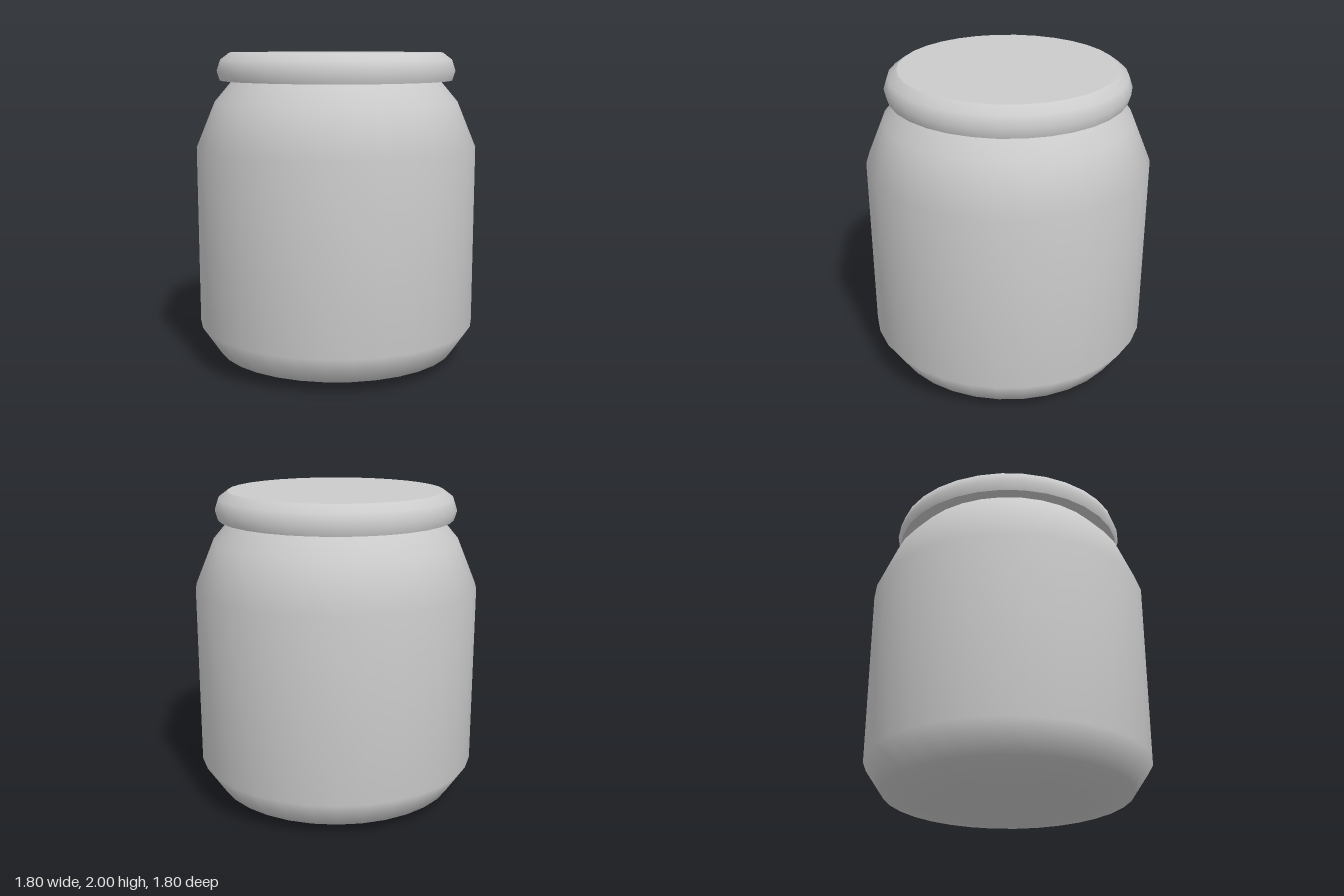
import * as THREE from 'three';

const SIDES = 32;

export function createModel() {
  const group = new THREE.Group();
  const material = new THREE.MeshStandardMaterial({ color: 0xcccccc });

  // Revolve a profile of [radius, height] points, listed from bottom to top
  function turned(name, profile, parent) {
    const points = profile.map(([r, y]) => new THREE.Vector2(r, y));
    const mesh = new THREE.Mesh(new THREE.LatheGeometry(points, SIDES), material);
    mesh.name = name;
    parent.add(mesh);
  }

  // Jar: rounded base, straight wall, shoulder drawn in to the neck
  turned('jarBody', [
    [0, 0], [0.48, 0], [0.78, 0.07], [0.9, 0.25],
    [0.9, 1.4], [0.78, 1.69], [0.665, 1.826],
  ], group);

  // Lid: separate pieces keep the rims sharp
  const lid = new THREE.Group();
  lid.name = 'lid';
  group.add(lid);
  turned('lidUnderside', [[0.62, 1.825], [0.745, 1.825]], lid);
  turned('lidRim', [[0.745, 1.825], [0.763, 1.885], [0.74, 1.955], [0.68, 2]], lid);
  turned('lidTop', [[0.68, 2], [0, 2]], lid);

  return group;
}
